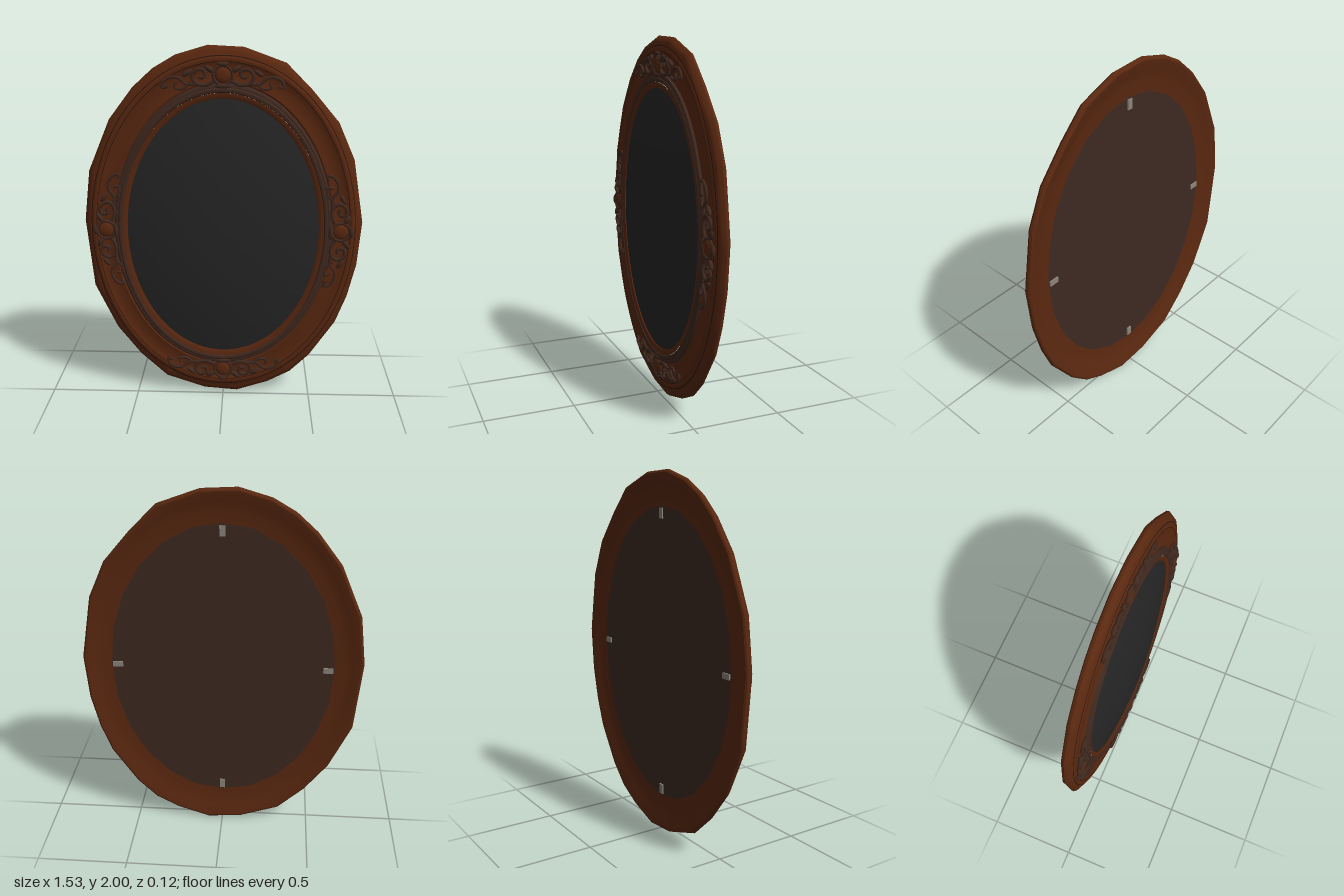
import * as THREE from 'three';
import { toCreasedNormals } from 'three/addons/utils/BufferGeometryUtils.js';

const material = (name, color, side = THREE.FrontSide) => {
  const m = new THREE.MeshStandardMaterial({ color, side });
  m.name = name;
  return m;
};

const CY = 1.005; // height of the oval's centre
const INNER = [0.53, 0.73], OUTER = [0.765, 0.99];

// Hand-cut outer outline, counter-clockwise from the model's left
const OUTLINE = [
  [0.765, 1.05], [0.705, 1.40], [0.615, 1.60], [0.47, 1.77], [0.33, 1.91], [0.11, 1.99],
  [-0.08, 2.0], [-0.25, 1.95], [-0.37, 1.88], [-0.48, 1.78], [-0.61, 1.61], [-0.73, 1.33],
  [-0.765, 1.05], [-0.73, 0.66], [-0.61, 0.40], [-0.48, 0.23], [-0.33, 0.09], [-0.11, 0.015],
  [0.08, 0.0], [0.26, 0.06], [0.39, 0.13], [0.50, 0.24], [0.64, 0.45], [0.70, 0.61], [0.745, 0.80],
];
const STEPS = 4;
const SAMPLES = OUTLINE.flatMap(([x, y], i) => {
  const [nx, ny] = OUTLINE[(i + 1) % OUTLINE.length];
  return Array.from({ length: STEPS }, (_, k) => [x + (nx - x) * k / STEPS, y + (ny - y) * k / STEPS]);
});

// Point on the frame: t = 0 at the opening, 1 at the outer edge
function framePoint([ox, oy], t, z) {
  const a = Math.atan2((oy - CY) / OUTER[1], ox / OUTER[0]);
  const c = Math.cos(a), s = Math.sin(a);
  const ix = INNER[0] * c, iy = CY + INNER[1] * s;
  const ex = t > 0.86 ? ox : OUTER[0] * c;
  const ey = t > 0.86 ? oy : CY + OUTER[1] * s;
  return [ix + (ex - ix) * t, iy + (ey - iy) * t, z];
}

// Sweep a [t, z] profile around the oval
function ovalMoulding(profile) {
  const pos = [], index = [], n = SAMPLES.length;
  profile.forEach(([t, z]) => SAMPLES.forEach((p) => pos.push(...framePoint(p, t, z))));
  for (let j = 0; j < profile.length - 1; j++) {
    for (let i = 0; i < n; i++) {
      const a = j * n + i, b = j * n + (i + 1) % n, c = a + n, d = b + n;
      index.push(a, c, d, a, d, b);
    }
  }
  const g = new THREE.BufferGeometry();
  g.setAttribute('position', new THREE.Float32BufferAttribute(pos, 3));
  g.setIndex(index);
  return toCreasedNormals(g, 0.6);
}

export function createModel() {
  const model = new THREE.Group();
  const wood = material('reddish wood', 0x5a2810, THREE.DoubleSide);
  const carving = material('grey brown carving', 0x40291f, THREE.DoubleSide);
  const groove = material('dark groove', 0x2c150b, THREE.DoubleSide);
  const glassBlack = material('black glass', 0x262626);
  const backing = material('brown backing', 0x3d2a21);
  const metal = material('pale metal', 0x8c857c);

  const add = (name, geometry, mat, parent = model) => {
    const mesh = new THREE.Mesh(geometry, mat);
    mesh.name = name;
    parent.add(mesh);
    return mesh;
  };

  // Main moulding: coved front, rounded rim, hollow back
  add('frame', ovalMoulding([
    [0.25, -0.012], [0.32, -0.004], [0.42, -0.010], [0.55, -0.012], [0.68, -0.008],
    [0.74, -0.002], [0.79, -0.004], [0.82, -0.010], [0.88, -0.012], [0.95, -0.022], [1, -0.040],
    [0.985, -0.054], [0.95, -0.060], [0.90, -0.059], [0.75, -0.045], [0.55, -0.035], [0.25, -0.031],
  ]), wood);
  add('innerLip', ovalMoulding([[-0.02, -0.03], [-0.02, 0.002], [0.03, 0.008], [0.10, 0.009]]), wood);
  add('innerBand', ovalMoulding([
    [0.10, 0.006], [0.12, 0.012], [0.17, 0.013], [0.20, 0.008], [0.23, 0.009], [0.27, 0.004], [0.29, -0.012],
  ]), carving);
  add('outerGroove', ovalMoulding([[0.815, -0.007], [0.835, -0.009]]), groove);
  add('innerGroove', ovalMoulding([[0.70, -0.004], [0.715, -0.003]]), groove);

  // Domed glass
  const dome = [];
  for (let i = 0; i <= 12; i++) {
    const r = 1 - i / 12;
    dome.push(new THREE.Vector2(r, 0.06 - 0.063 * r * r));
  }
  const glass = add('glass', new THREE.LatheGeometry(dome, 64).rotateX(Math.PI / 2), glassBlack);
  glass.scale.set(INNER[0], INNER[1], 1);
  glass.position.y = CY;

  // Backing board and its four clips
  const board = add('backBoard', new THREE.CircleGeometry(1, 24).rotateY(Math.PI), backing);
  board.scale.set(0.61, 0.81, 1);
  board.position.set(0, CY, -0.033);
  for (const [x, y, w, h] of [[0, 0.77, 0.03, 0.055], [0, -0.77, 0.03, 0.055], [0.575, 0, 0.055, 0.03], [-0.575, 0, 0.055, 0.03]]) {
    add('clip', new THREE.BoxGeometry(w, h, 0.008), metal).position.set(x, CY + y, -0.037);
  }

  // Carved ornament: a rosette with scrolls and leaves, bent along the oval
  function ornament(name, bend) {
    const g = new THREE.Group();
    g.name = name;
    const at = (s, h) => new THREE.Vector3(s, h - bend * s * s, 0);
    const strand = (points, r) => {
      const curve = new THREE.CatmullRomCurve3(points.map(([s, h]) => at(s, h)));
      add('scroll', new THREE.TubeGeometry(curve, 28, r, 6), carving, g).scale.z = 0.9;
    };
    const bead = (s, h, rx, ry, mat, turn = 0) => {
      const m = add(mat === wood ? 'rosette' : 'leaf', new THREE.SphereGeometry(1, 12, 8), mat, g);
      m.scale.set(rx, ry, 0.012);
      m.rotation.z = turn;
      m.position.copy(at(s, h));
    };
    bead(0, 0, 0.042, 0.042, wood);
    const ring = new THREE.TorusGeometry(0.05, 0.008, 6, 24);
    add('rosetteRing', ring, carving, g);
    bead(0, 0.058, 0.03, 0.013, carving);
    bead(0, -0.055, 0.045, 0.014, carving);
    for (const m of [-1, 1]) {
      strand([[0.05, -0.03], [0.09, -0.045], [0.14, -0.03], [0.16, 0.01], [0.13, 0.04], [0.095, 0.025], [0.10, -0.005], [0.125, 0]].map(([s, h]) => [m * s, h]), 0.011);
      strand([[0.13, -0.035], [0.19, -0.025], [0.23, 0.015], [0.27, 0.03], [0.31, 0.02], [0.315, -0.01], [0.29, -0.01]].map(([s, h]) => [m * s, h]), 0.009);
      strand([[0.17, -0.02], [0.21, -0.045], [0.25, -0.03], [0.245, -0.005]].map(([s, h]) => [m * s, h]), 0.008);
      bead(m * 0.07, 0.035, 0.03, 0.014, carving, m * 0.6);
      bead(m * 0.185, 0.03, 0.03, 0.012, carving, -m * 0.6);
    }
    model.add(g);
    return g;
  }
  const Z = 0.004;
  for (const m of [1, -1]) {
    const end = ornament(m > 0 ? 'topOrnament' : 'bottomOrnament', 0.55);
    end.position.set(0, CY + m * 0.845, Z);
    end.rotation.z = m > 0 ? 0 : Math.PI;
    const side = ornament(m > 0 ? 'leftOrnament' : 'rightOrnament', 0.75);
    side.position.set(m * 0.645, CY, Z);
    side.rotation.z = -m * Math.PI / 2;
  }
  return model;
}
